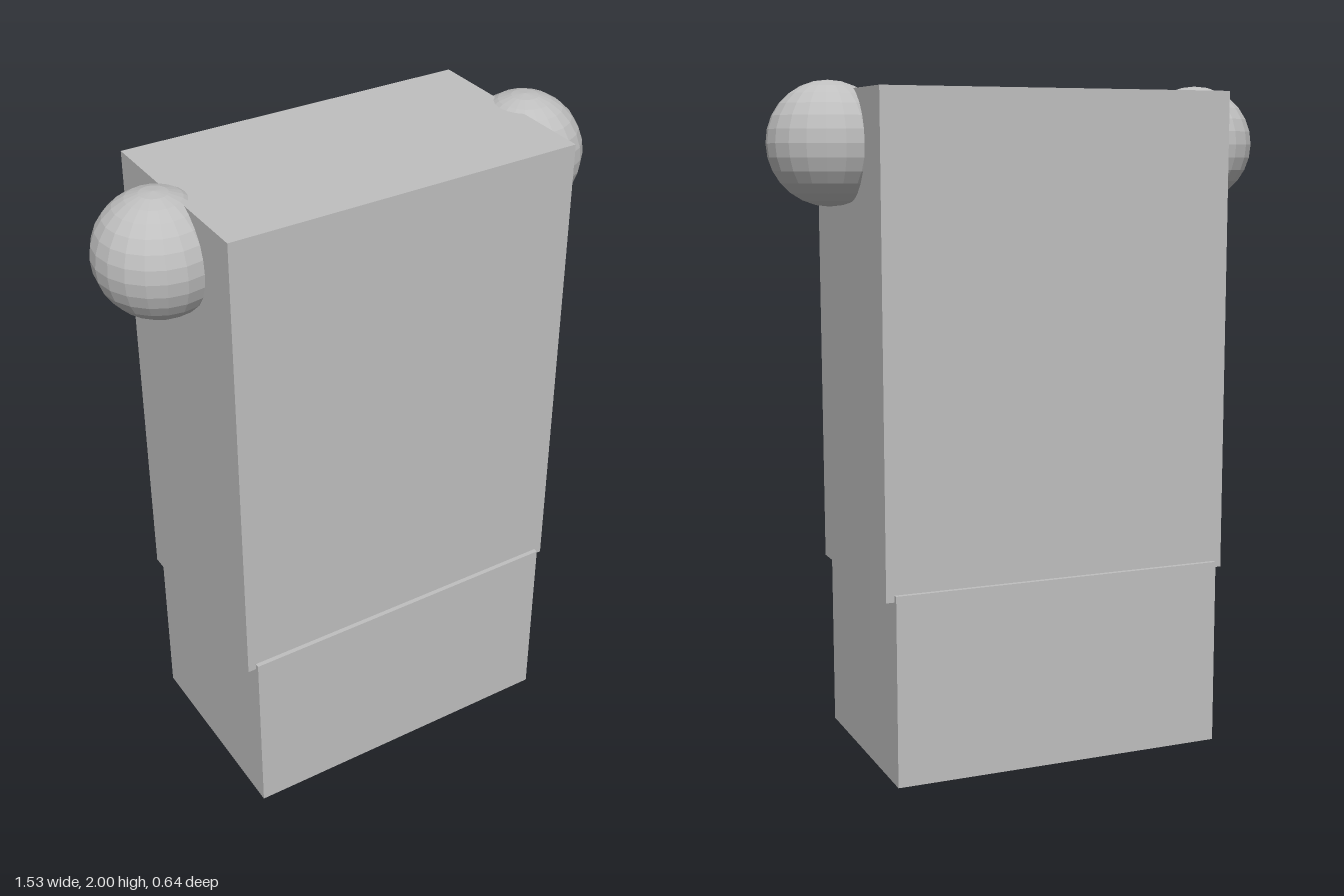
import * as THREE from 'three';

export function createModel() {
  const model = new THREE.Group();
  const grey = new THREE.MeshStandardMaterial({ color: 0xbfbfbf, flatShading: true });
  grey.name = 'plain grey';

  const add = (name, geometry, x, y, z) => {
    const mesh = new THREE.Mesh(geometry, grey);
    mesh.name = name;
    mesh.position.set(x, y, z);
    model.add(mesh);
  };

  // Hips: slightly narrower and deeper than the chest, overlapping its lower edge
  add('hips', new THREE.BoxGeometry(1.024, 0.565, 0.64), -0.002, 0.2825, 0);

  // Chest block
  add('chest', new THREE.BoxGeometry(1.074, 1.43, 0.612), -0.002, 1.26, 0);

  // Faceted shoulder balls, sunk into the chest sides
  for (const [name, side] of [['leftShoulder', 1], ['rightShoulder', -1]]) {
    add(name, new THREE.SphereGeometry(0.178, 20, 14), side * 0.589, 1.822, 0);
  }
  return model;
}
